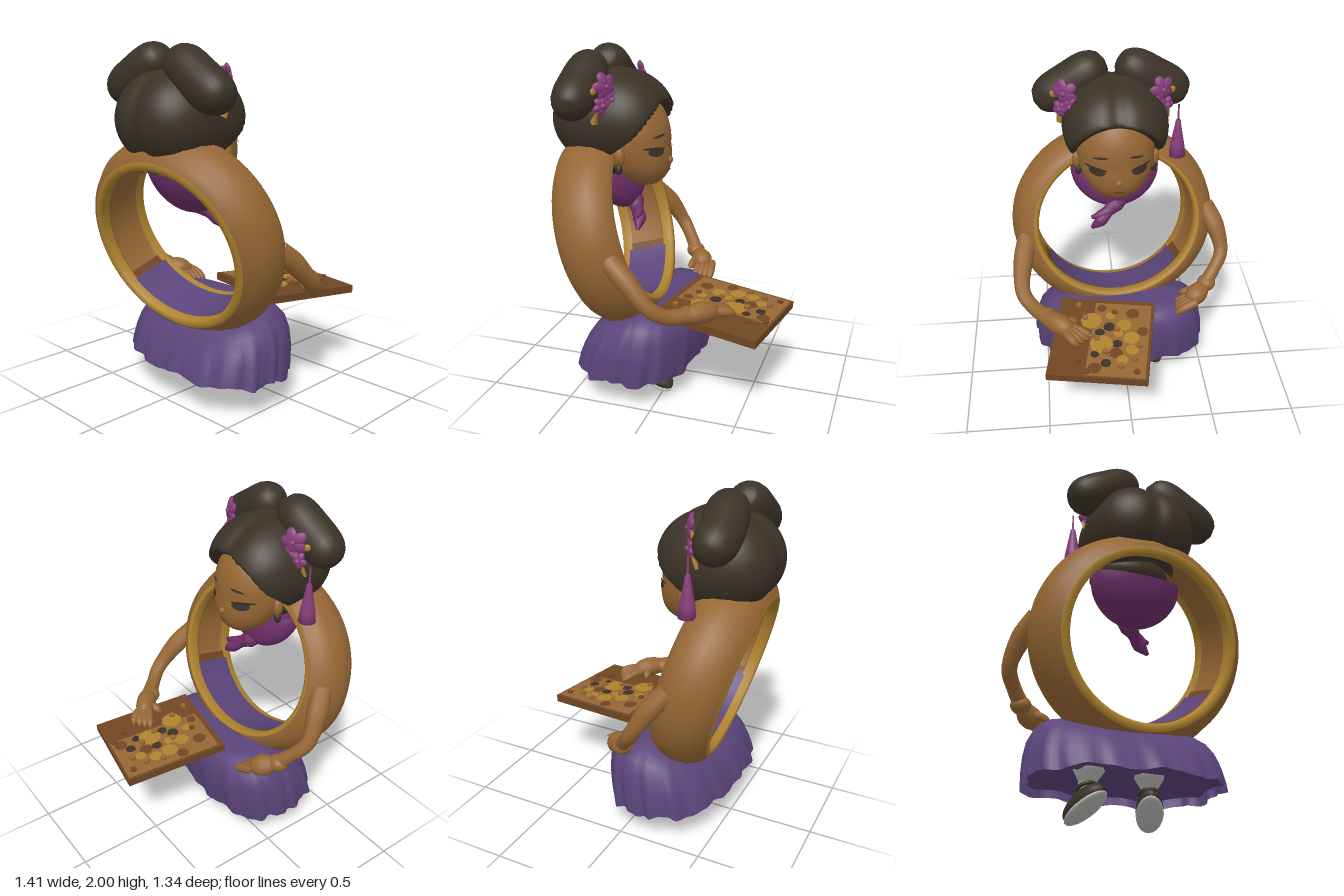
import * as THREE from 'three';
import { mergeVertices } from 'three/addons/utils/BufferGeometryUtils.js';

const mat = (name, color, side = THREE.FrontSide) => {
  const m = new THREE.MeshStandardMaterial({ color, side });
  m.name = name;
  return m;
};
const V = (p) => new THREE.Vector3(...p);

// Factor that turns a circle into a rounded square
const squarish = (x, z, n) => {
  const a = Math.atan2(z, x);
  return (Math.abs(Math.cos(a)) ** n + Math.abs(Math.sin(a)) ** n) ** (-1 / n);
};

// Move every vertex by a rule, then weld and smooth
function reshape(geo, rule) {
  const p = geo.attributes.position, v = new THREE.Vector3();
  for (let i = 0; i < p.count; i++) {
    v.fromBufferAttribute(p, i);
    rule(v);
    p.setXYZ(i, v.x, v.y, v.z);
  }
  geo.deleteAttribute('uv');
  geo.deleteAttribute('normal');
  const g = mergeVertices(geo, 1e-4);
  g.computeVertexNormals();
  return g;
}

// Tapered tube through points, radii spread evenly along it
function limb(points, radii, segs = 24, sides = 10) {
  const curve = new THREE.CatmullRomCurve3(points.map(V));
  const geo = new THREE.TubeGeometry(curve, segs, 1, sides);
  const p = geo.attributes.position, v = new THREE.Vector3();
  for (let i = 0; i <= segs; i++) {
    const c = curve.getPointAt(i / segs), f = (i / segs) * (radii.length - 1);
    const k = Math.min(Math.floor(f), radii.length - 2);
    const r = THREE.MathUtils.lerp(radii[k], radii[k + 1], f - k);
    for (let j = 0; j <= sides; j++) {
      const n = i * (sides + 1) + j;
      v.fromBufferAttribute(p, n).sub(c).multiplyScalar(r).add(c);
      p.setXYZ(n, v.x, v.y, v.z);
    }
  }
  return reshape(geo, () => {});
}

export function createModel() {
  const root = new THREE.Group();
  const brown = mat('warm brown', 0x956634), gold = mat('gold', 0xae822e);
  const hair = mat('dark hair', 0x3b3226), purple = mat('skirt purple', 0x5b447a, THREE.DoubleSide);
  const scarfM = mat('scarf magenta', 0x6e2e68, THREE.DoubleSide);
  const petalM = mat('petal pink', 0x873d79, THREE.DoubleSide);
  const wood = mat('board wood', 0x704623, THREE.DoubleSide), white = mat('off white', 0xb9b9b5);
  const add = (name, geo, m, parent = root, pos = [0, 0, 0]) => {
    const mesh = new THREE.Mesh(geo, m);
    mesh.name = name;
    mesh.position.set(...pos);
    parent.add(mesh);
    return mesh;
  };
  const ball = (name, m, pos, r, parent = root) => {
    const s = add(name, new THREE.SphereGeometry(1, 20, 14), m, parent, pos);
    s.scale.set(...r);
    return s;
  };
  const group = (name, pos) => {
    const g = new THREE.Group();
    g.name = name;
    g.position.set(...pos);
    root.add(g);
    return g;
  };

  // Ring body, leaning back; local +x points to its bottom
  const ring = group('ringBody', [-0.358, 0.95, 0.035]);
  ring.quaternion.setFromUnitVectors(V([0, 1, 0]), V([0.96, 0.265, -0.085]).normalize());
  ring.scale.set(0.94, 1, 1);
  const lathe = (pts, start = 0, len = Math.PI * 2) =>
    new THREE.LatheGeometry(pts.map((p) => new THREE.Vector2(...p)), 64, start, len);
  add('ringOuter', lathe([[0.53, -0.17], [0.575, -0.14], [0.615, -0.08], [0.63, 0], [0.615, 0.08], [0.58, 0.135], [0.535, 0.172], [0.51, 0.176]]), brown, ring);
  add('ringInner', lathe([[0.488, 0.11], [0.5, 0.09], [0.5, -0.09], [0.488, -0.11]]), brown, ring);
  add('frontRim', lathe([[0.51, 0.176], [0.495, 0.175], [0.48, 0.165], [0.488, 0.11]]), gold, ring);
  add('backRim', lathe([[0.488, -0.11], [0.48, -0.17], [0.51, -0.18], [0.53, -0.17]]), gold, ring);
  add('liningEdge', lathe([[0.484, 0.11], [0.484, -0.11]], Math.PI / 2 - 1.05, 2.1), wood, ring);
  add('lining', lathe([[0.476, 0.125], [0.476, -0.125]], Math.PI / 2 - 0.95, 1.9), purple, ring);

  // Pleated skirt
  const skirt = (pts) => reshape(
    new THREE.LatheGeometry(pts.map((p) => new THREE.Vector2(...p)), 120), (v) => {
      const h = (v.y - 0.16) / 0.39, a = Math.atan2(v.z, v.x);
      const k = squarish(v.x, v.z, 2.7) *
        (1 + (1 - h) * (0.022 * Math.sin(17 * a) + 0.014 * Math.sin(29 * a + 1)));
      const z = v.z * k * 0.53;
      v.x = -0.18 + 0.06 * h + v.x * k * 0.335 - z * 0.06;
      v.y += h * (0.3 * Math.min(0, v.x + 0.1) - 0.04 * Math.max(0, 1 - (z / 0.5) ** 2));
      v.y += (1 - h) * (0.03 * Math.max(0, -v.x) / 0.5 + 0.012 * Math.sin(9 * a));
      v.z = z + 0.022;
    });
  add('skirt', skirt([[1, 0.16], [1, 0.22], [0.985, 0.32], [0.95, 0.41], [0.88, 0.49], [0.76, 0.545], [0.6, 0.575], [0.35, 0.58], [0, 0.58]]), purple);
  add('skirtUnderside', skirt([[0, 0.29], [0.6, 0.27], [0.97, 0.21]]), purple);

  // Legs and shoes
  for (const [z, s] of [[0.215, 1], [-0.165, -1]]) {
    const foot = group('foot', [-0.08, 0.1, z]);
    foot.rotation.set(0, -0.38 * s, -0.42);
    ball('sole', white, [0, -0.03, 0], [0.16, 0.028, 0.076], foot);
    add('shoe', reshape(new THREE.SphereGeometry(1, 24, 16), (v) => {
      const low = v.x > 0 ? 1 - 0.3 * v.x : 1;
      v.set(v.x * 0.158, Math.max(v.y, -0.35) * 0.07 * low, v.z * 0.075);
    }), hair, foot);
    add('trouserLeg', limb([[-0.02, 0.03, 0], [-0.07, 0.1, 0], [-0.14, 0.21, 0]], [0.045, 0.045, 0.09, 0.11]), white, foot);
    add('shoeStrap', new THREE.TorusGeometry(0.05, 0.012, 8, 20).rotateX(Math.PI / 2), hair, foot, [-0.05, 0.065, 0]);
  }

  // Arms, cuffs and hands
  const arm = (name, path, radii, cuff, palm, palmRadii, fingers, r) => {
    const g = group(name, [0, 0, 0]);
    add('sleeve', limb(path, radii), brown, g);
    ball('cuff', brown, cuff, [0.058, 0.05, 0.058], g);
    add('palm', limb(palm, palmRadii, 16, 12), brown, g);
    fingers.forEach((f) => add('finger', limb(f, [r, r, r * 0.95, r * 0.8, 0], 12, 8), brown, g));
  };
  arm('rightArm', [[-0.2, 0.93, 0.57], [-0.1, 0.85, 0.6], [0.05, 0.7, 0.615], [0.13, 0.645, 0.56], [0.22, 0.63, 0.47]],
    [0.06, 0.06, 0.047, 0.042, 0.05], [0.21, 0.63, 0.47], [[0.2, 0.63, 0.5], [0.28, 0.63, 0.41], [0.36, 0.615, 0.32]],
    [0.03, 0.05, 0.058, 0.062, 0.058, 0.045, 0],
    [0, 1, 2, 3].map((i) => [[0.29 + 0.02 * i, 0.625, 0.37], [0.335 + 0.025 * i, 0.615, 0.29 + 0.015 * i], [0.375 + 0.022 * i, 0.59, 0.205 + 0.03 * i]])
      .concat([[[0.27, 0.625, 0.4], [0.255, 0.62, 0.34], [0.24, 0.605, 0.29]]]), 0.028);
  arm('leftArm', [[-0.32, 1.02, -0.53], [-0.24, 0.92, -0.59], [-0.15, 0.77, -0.625], [-0.08, 0.68, -0.57], [-0.02, 0.6, -0.5]],
    [0.06, 0.06, 0.045, 0.04, 0.045], [-0.035, 0.615, -0.52], [[-0.03, 0.61, -0.51], [0.02, 0.585, -0.46], [0.07, 0.545, -0.38]],
    [0.03, 0.05, 0.06, 0.065, 0.06, 0.045, 0],
    [0, 1, 2, 3].map((i) => [[0.02 + 0.025 * i, 0.57, -0.44], [0.02 + 0.03 * i, 0.545, -0.37], [0.01 + 0.035 * i, 0.495, -0.3]])
      .concat([[[0, 0.59, -0.46], [-0.02, 0.57, -0.4], [-0.025, 0.55, -0.34]]]), 0.027);

  // Tilted board with inlays and small pieces
  const board = group('board', [0.347, 0.543, 0.158]);
  board.rotation.set(0, -0.18, -0.075);
  add('slab', new THREE.BoxGeometry(0.615, 0.045, 0.575), wood, board);
  const disc = (name, m, x, z, r, h, n = 10) =>
    add(name, new THREE.CylinderGeometry(r, r, h, n), m, board, [x, 0.0225 + h / 2, z]);
  add('inlay', new THREE.BoxGeometry(0.57, 0.004, 0.34), brown, board, [0.01, 0.0235, -0.1]);
  [[0.06, 0, 0.07], [-0.12, 0.08, 0.065], [0, -0.17, 0.05], [-0.17, -0.03, 0.03], [0.09, -0.18, 0.04], [-0.1, -0.12, 0.045], [0.17, -0.13, 0.035], [-0.03, -0.09, 0.03]]
    .forEach(([x, z, r]) => disc('goldInlay', gold, x, z, r, 0.007, 8));
  [[-0.08, -0.03, 0.035], [-0.03, 0.02, 0.03], [0.2, -0.04, 0.03], [0.05, -0.09, 0.03], [0.14, 0.03, 0.025]]
    .forEach(([x, z, r]) => disc('darkInlay', hair, x, z, r, 0.006, 8));
  [[-0.2, -0.16, 0.04], [0.24, 0.02, 0.04], [-0.06, -0.23, 0.035], [0.12, -0.09, 0.04], [-0.23, 0.03, 0.03]]
    .forEach(([x, z, r]) => disc('woodInlay', wood, x, z, r, 0.0055, 8));
  [[-0.2, -0.05], [-0.14, 0.12], [0.22, -0.13], [0.27, 0.06], [0.02, 0.03], [0.12, -0.03], [0.19, 0.12], [-0.24, 0.17], [0.06, -0.22], [0.25, -0.22], [-0.06, -0.08], [0.16, -0.2]]
    .forEach(([x, z], i) => disc('piece', i % 3 ? brown : wood, x, z, 0.018, 0.014 + 0.005 * (i % 3)));

  // Head: the front of the face as a function of height and side
  const C = [-0.25, 1.485, 0.025], R = [0.212, 0.272, 0.225];
  const lean = (y) => 0.32 * Math.max(0, 1.45 - y);
  const faceX = (y, z) => C[0] + lean(y) +
    R[0] * Math.sqrt(Math.max(0, 1 - ((y - C[1]) / R[1]) ** 2 - ((z - C[2]) / R[2]) ** 2));
  add('face', reshape(new THREE.SphereGeometry(1, 40, 28), (v) => {
    v.set(C[0] + v.x * R[0], C[1] + v.y * R[1], C[2] + v.z * R[2]);
    v.x += lean(v.y);
  }), brown);
  ball('nose', brown, [faceX(1.37, C[2]) - 0.005, 1.37, C[2]], [0.022, 0.022, 0.02]);
  const patch = (name, m, z, y, w, h, tilt = 0, lift = 0.005) =>
    add(name, reshape(new THREE.RingGeometry(0.001, 1, 20, 4), (v) => {
      const py = y + v.y * h + v.x * w * tilt, pz = z - v.x * w;
      v.set(faceX(py, pz) + lift, py, pz);
    }), m);
  for (const s of [1, -1]) {
    const z = C[2] + s * 0.12;
    patch('eye', hair, z, 1.438, 0.046, 0.026);
    patch('eyelid', hair, z + s * 0.008, 1.457, 0.06, 0.009, -s * 0.1, 0.008);
    patch('eyebrow', hair, z - s * 0.02, 1.525, 0.042, 0.007, s * 0.15);
    ball('ear', brown, [-0.25, 1.42, C[2] + s * 0.23], [0.03, 0.05, 0.026]);
    ball('earring', hair, [-0.26, 1.345, C[2] + s * 0.22], [0.02, 0.03, 0.02]);
  }
  patch('mouth', wood, C[2], 1.31, 0.03, 0.007);

  // Hair cap with a centre parting, swept back from the face
  add('hairCap', reshape(new THREE.SphereGeometry(1, 80, 56), (v) => {
    const part = 1 - 0.06 * Math.exp(-((v.z / 0.15) ** 2)), k = squarish(v.x, v.z, 2.5);
    v.set(-0.37 + v.x * 0.342 * part * k, 1.595 + v.y * 0.29 * part, 0.02 + v.z * 0.31 * k);
    const side = Math.min(1, Math.abs(v.z - C[2]) / 0.25);
    const line = 1.705 - 0.11 * side * side;
    if (v.y < line) v.x = Math.min(v.x, -0.075 - (line - v.y) * 1.35);
  }), hair);
  ball('nape', hair, [-0.36, 1.37, 0.02], [0.13, 0.1, 0.2]);
  const bunRadii = Array.from({ length: 25 }, (_, i) => 0.122 * Math.sqrt(1 - Math.abs(i / 12 - 1) ** 3.5));
  add('rightBun', limb([[-0.455, 1.945, 0.07], [-0.46, 1.88, 0.16], [-0.465, 1.77, 0.33], [-0.46, 1.7, 0.485]], bunRadii, 48, 20), hair);
  add('leftBun', limb([[-0.445, 1.955, -0.01], [-0.45, 1.89, -0.1], [-0.465, 1.79, -0.26], [-0.46, 1.72, -0.42]], bunRadii, 48, 20), hair);

  // Hair flowers with gold pins
  for (const [z, s] of [[0.3, 1], [-0.24, -1]]) {
    const f = group('hairFlower', [-0.315, 1.775, z]);
    f.rotation.set(0, -s * 0.45, 0);
    for (const [cy, cz, size] of [[0.04, 0, 0.062], [-0.035, -s * 0.035, 0.05], [-0.06, s * 0.03, 0.04]]) {
      for (let i = 0; i < 5; i++) {
        const a = (i / 5) * Math.PI * 2 + cy * 9;
        const p = ball('petal', petalM, [0.012, cy + Math.cos(a) * size * 0.7, cz + Math.sin(a) * size * 0.7],
          [0.014, size * 0.62, size * 0.5], f);
        p.rotation.set(a, 0, 0.35);
      }
      ball('flowerHeart', petalM, [0.025, cy, cz], [0.018, 0.016, 0.016], f);
    }
    const pin = add('pin', new THREE.ConeGeometry(0.024, 0.08, 4), gold, root, [-0.345, 1.655, z + s * 0.045]);
    pin.rotation.set(s * 0.25, 0, -0.4);
    ball('pinLeaf', gold, [0.005, 0.02, s * 0.075], [0.01, 0.02, 0.02], f);
  }
  add('tassel', lathe([[0, 1.365], [0.05, 1.37], [0.042, 1.44], [0.022, 1.55], [0.014, 1.6], [0.006, 1.61], [0.005, 1.7]]), petalM, root, [-0.34, 0, -0.35]);

  // Scarf draped below the chin, with a knotted tail
  add('scarf', reshape(new THREE.SphereGeometry(1, 40, 20, 0, Math.PI * 2, Math.PI * 0.45, Math.PI * 0.55), (v) => {
    v.set(-0.36 + v.x * 0.13 - v.y * 0.06, 1.27 + v.y * 0.2 + 0.03 * v.z * v.z, 0.025 + v.z * 0.265);
  }), scarfM);
  add('scarfTail', limb([[-0.27, 1.13, -0.03], [-0.23, 1.08, 0.06], [-0.19, 1.03, 0.12], [-0.18, 0.98, 0.18]], [0.03, 0.05, 0.035, 0.04, 0.01], 20, 8), scarfM);
  add('scarfEnd', limb([[-0.21, 1.08, 0.08], [-0.19, 1.06, 0.14], [-0.19, 1.05, 0.18]], [0.03, 0.025, 0.01], 10, 8), scarfM);
  return root;
}
